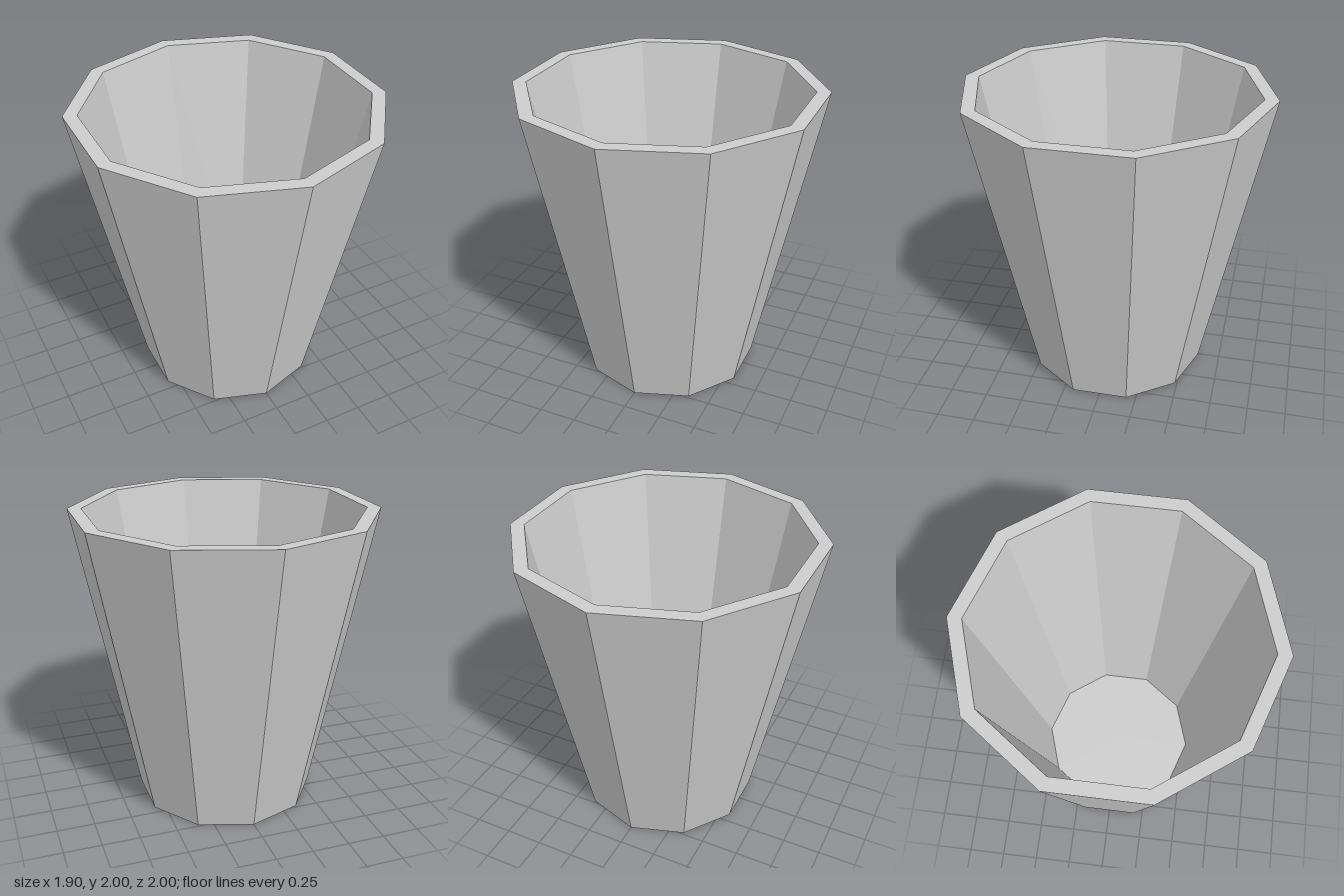
import * as THREE from 'three';

const SIDES = 10;

// Revolve a [radius, height] profile into a ten-sided faceted surface
function facetedLathe(name, profile, material) {
  const points = profile.map(([r, y]) => new THREE.Vector2(r, y));
  const geometry = new THREE.LatheGeometry(points, SIDES).toNonIndexed();
  geometry.computeVertexNormals();
  const mesh = new THREE.Mesh(geometry, material);
  mesh.name = name;
  return mesh;
}

// Flat ten-sided disc, facing up or down
function disc(name, radius, y, facing, material) {
  const geometry = new THREE.CircleGeometry(radius, SIDES, Math.PI / 2);
  geometry.rotateX(facing === 'up' ? -Math.PI / 2 : Math.PI / 2);
  const mesh = new THREE.Mesh(geometry, material);
  mesh.position.y = y;
  mesh.name = name;
  return mesh;
}

export function createModel() {
  const grey = new THREE.MeshStandardMaterial({ color: 0xcccccc, flatShading: true });
  grey.name = 'light grey';

  const baseRadius = 0.6, topRadius = 1, height = 2;
  const innerTop = 0.91, floorRadius = 0.526, floorY = 0.08;

  const cup = new THREE.Group();
  cup.name = 'cup';
  cup.add(
    // Outer wall, flat rim and tapered inner wall
    facetedLathe('outerWall', [[baseRadius, 0], [topRadius, height]], grey),
    facetedLathe('rim', [[topRadius, height], [innerTop, height]], grey),
    facetedLathe('innerWall', [[innerTop, height], [floorRadius, floorY]], grey),
    // Inside floor and underside
    disc('floor', floorRadius, floorY, 'up', grey),
    disc('base', baseRadius, 0, 'down', grey),
  );
  return cup;
}
